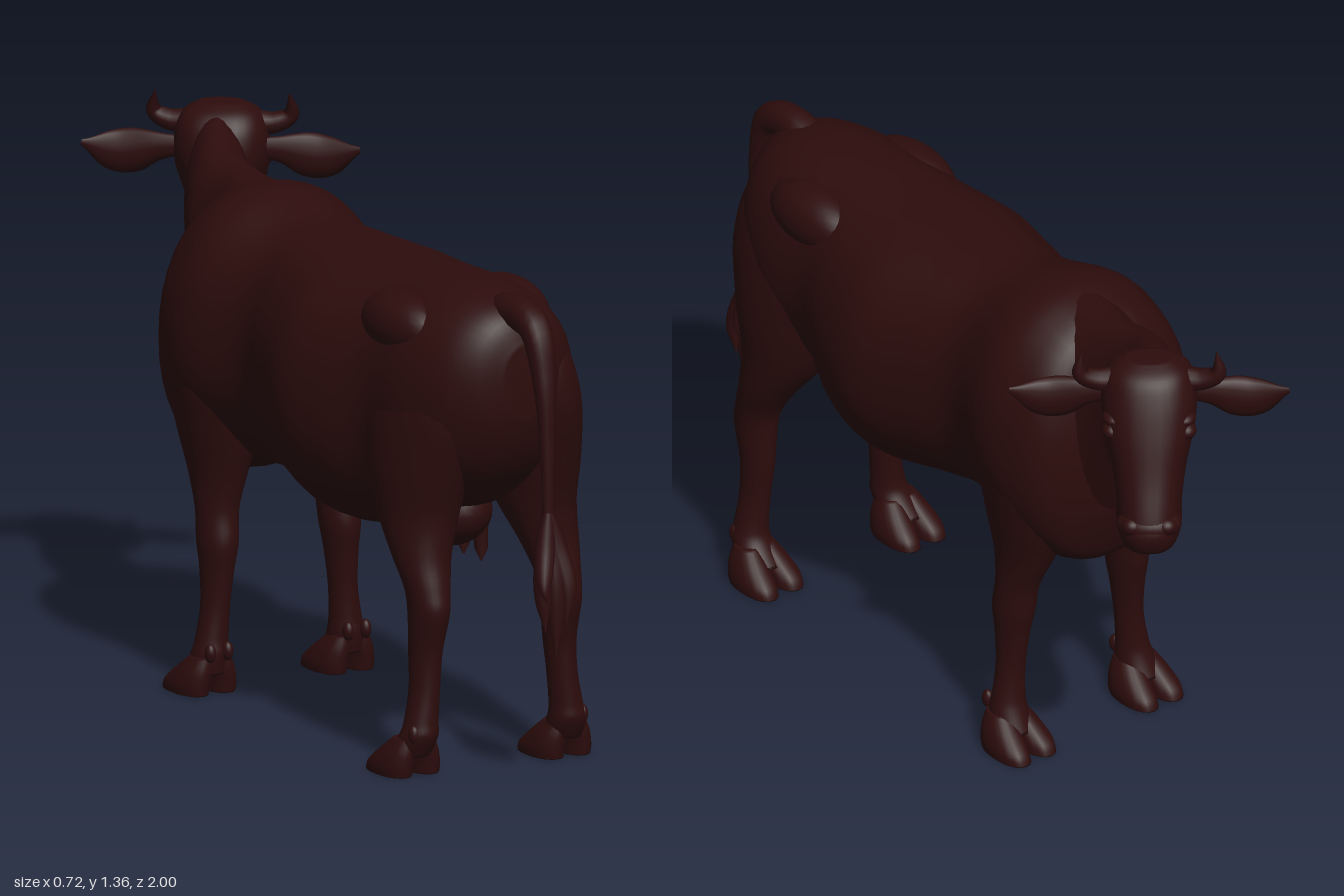
import * as THREE from 'three';

const hide = new THREE.MeshStandardMaterial({ color: 0x2d0c0c });
hide.name = 'dark brown hide';

const MID = -0.05; // x of the body's centre line

const add = (parent, name, geometry) => {
  const mesh = new THREE.Mesh(geometry, hide);
  mesh.name = name;
  parent.add(mesh);
  return mesh;
};

// Smooth value between the rows of a section table
function sample(rows, t, k) {
  const i = Math.min(Math.floor(t), rows.length - 2), f = t - i;
  const at = n => rows[Math.max(0, Math.min(rows.length - 1, n))][k];
  const [a, b, c, d] = [at(i - 1), at(i), at(i + 1), at(i + 2)];
  return b + 0.5 * f * (c - a + f * (2 * a - 5 * b + 4 * c - d + f * (3 * (b - c) + d - a)));
}

// Skin over rows of [p, centreA, centreB, radiusA, radiusB], p ascending
function loft(rows, place, power = 2, sides = 32, steps = 5) {
  const pos = [], idx = [], rings = (rows.length - 1) * steps + 1;
  const bend = v => Math.sign(v) * Math.abs(v) ** (2 / power);
  for (let i = 0; i < rings; i++) {
    const [p, ca, cb, ra, rb] = [0, 1, 2, 3, 4].map(k => sample(rows, i / steps, k));
    for (let j = 0; j < sides; j++) {
      const q = j / sides * Math.PI * 2;
      pos.push(...place(ca + ra * bend(Math.cos(q)), cb + rb * bend(Math.sin(q)), p));
    }
  }
  for (let i = 0; i < rings - 1; i++) for (let j = 0; j < sides; j++) {
    const a = i * sides + j, b = i * sides + (j + 1) % sides;
    idx.push(a, b, b + sides, a, b + sides, a + sides);
  }
  const first = rows[0], last = rows[rows.length - 1], n = rings * sides;
  pos.push(...place(first[1], first[2], first[0]), ...place(last[1], last[2], last[0]));
  for (let j = 0; j < sides; j++) {
    const k = (j + 1) % sides, o = n - sides;
    idx.push(n, k, j, n + 1, o + j, o + k);
  }
  const g = new THREE.BufferGeometry();
  g.setAttribute('position', new THREE.Float32BufferAttribute(pos, 3));
  g.setIndex(idx);
  g.computeVertexNormals();
  return g;
}
const alongZ = (a, b, p) => [a, b, p];
const alongY = (a, b, p) => [b, p, a];

// Tube whose thickness follows a list of radii
function taper(points, radii, segs = 24, sides = 12) {
  const curve = new THREE.CatmullRomCurve3(points.map(p => new THREE.Vector3(...p)));
  const g = new THREE.TubeGeometry(curve, segs, 1, sides), pos = g.attributes.position;
  const rows = radii.map(r => [r]), v = new THREE.Vector3();
  for (let i = 0; i <= segs; i++) {
    const c = curve.getPointAt(i / segs);
    const r = Math.max(0.001, sample(rows, i / segs * (rows.length - 1), 0));
    for (let j = 0; j <= sides; j++) {
      const n = i * (sides + 1) + j;
      v.fromBufferAttribute(pos, n).sub(c).multiplyScalar(r).add(c);
      pos.setXYZ(n, v.x, v.y, v.z);
    }
  }
  return g;
}

const blob = (x, y, z, rx, ry, rz) =>
  new THREE.SphereGeometry(1, 24, 16).scale(rx, ry, rz).translate(x, y, z);

// Leg rows: height, z, distance from centre line, z radius, x radius
const HIND = [
  [0.05, 0.65, 0.205, 0.06, 0.052], [0.1, 0.685, 0.2, 0.05, 0.048], [0.14, 0.69, 0.195, 0.043, 0.042],
  [0.22, 0.688, 0.185, 0.042, 0.037], [0.31, 0.685, 0.18, 0.048, 0.04], [0.41, 0.695, 0.177, 0.062, 0.048],
  [0.47, 0.685, 0.175, 0.063, 0.055], [0.55, 0.65, 0.17, 0.08, 0.073], [0.65, 0.612, 0.155, 0.12, 0.095],
  [0.77, 0.6, 0.145, 0.165, 0.11], [0.92, 0.6, 0.125, 0.203, 0.115], [1.05, 0.6, 0.1, 0.19, 0.1],
  [1.15, 0.6, 0.07, 0.11, 0.07]];
const FORE = [
  [0.05, -0.32, 0.2, 0.055, 0.052], [0.1, -0.305, 0.197, 0.047, 0.047], [0.14, -0.302, 0.193, 0.04, 0.041],
  [0.22, -0.3, 0.185, 0.038, 0.036], [0.31, -0.3, 0.18, 0.048, 0.041], [0.38, -0.302, 0.177, 0.06, 0.049],
  [0.46, -0.312, 0.172, 0.061, 0.052], [0.55, -0.325, 0.162, 0.09, 0.066], [0.68, -0.335, 0.155, 0.135, 0.095],
  [0.82, -0.34, 0.16, 0.15, 0.11], [1, -0.33, 0.15, 0.13, 0.1], [1.15, -0.3, 0.1, 0.08, 0.07]];

function leg(name, rows, side, shift) {
  const g = new THREE.Group();
  g.name = name;
  const [, cz, off] = rows[0], x = MID + side * off;
  add(g, 'leg', loft(rows.map(([y, z, o, rz, rx]) =>
    [y, z + shift, MID + side * o, rz, rx]), alongY));
  // cloven hoof and dewclaws
  for (const s of [-1, 1]) {
    const z = cz + shift, cx = x + s * 0.039;
    add(g, 'hoof', loft([
      [0, z - 0.03, cx, 0.08, 0.04], [0.025, z - 0.022, cx, 0.075, 0.041],
      [0.06, z, cx - s * 0.006, 0.056, 0.036], [0.095, z + 0.02, cx - s * 0.014, 0.033, 0.024]], alongY, 2.2, 20));
    add(g, 'dewclaw', blob(x + s * 0.025, 0.11, z + 0.06, 0.014, 0.024, 0.016));
  }
  return g;
}

function head() {
  const g = new THREE.Group();
  g.name = 'head';
  // local +z is the way the face points; turned to one side
  g.position.set(0.09, 0, -0.782);
  g.rotation.y = Math.atan2(0.63, -0.777);
  add(g, 'skull', loft([
    [0.885, 0.165, 0, 0.035, 0.04], [0.9, 0.15, 0, 0.085, 0.066], [0.945, 0.143, 0, 0.11, 0.08],
    [0.99, 0.125, 0, 0.116, 0.08], [1.08, 0.082, 0, 0.122, 0.092], [1.18, 0.035, 0, 0.132, 0.115],
    [1.26, 0.02, 0, 0.112, 0.115], [1.31, 0.02, 0, 0.08, 0.095], [1.335, 0.02, 0, 0.035, 0.055]], alongY, 2.3));
  add(g, 'nose', blob(0, 0.965, 0.195, 0.08, 0.042, 0.055));
  add(g, 'chin', blob(0, 0.91, 0.165, 0.06, 0.028, 0.07));
  for (const s of [-1, 1]) {
    add(g, 'nostril', blob(s * 0.042, 0.972, 0.22, 0.026, 0.022, 0.025));
    add(g, 'eye', blob(s * 0.092, 1.175, 0.1, 0.024, 0.022, 0.03));
    add(g, 'brow', blob(s * 0.085, 1.205, 0.09, 0.03, 0.018, 0.035));
    add(g, 'horn', taper([[s * 0.07, 1.28, 0.03], [s * 0.13, 1.28, 0.035], [s * 0.168, 1.3, 0.04],
      [s * 0.165, 1.355, 0.03]], [0.033, 0.028, 0.02, 0.002]));
    const ear = add(g, 'ear', taper([[s * 0.08, 1.225, 0], [s * 0.16, 1.22, 0], [s * 0.25, 1.207, 0],
      [s * 0.343, 1.225, 0]], [0.024, 0.034, 0.056, 0.048, 0.008], 28));
    ear.scale.z = 0.5;
  }
  return g;
}

function tail() {
  const g = new THREE.Group();
  g.name = 'tail';
  add(g, 'tailCord', taper([[MID, 1.13, 0.66], [MID, 1.17, 0.77], [MID, 1.145, 0.86], [MID, 1.03, 0.9],
    [MID, 0.85, 0.915], [MID, 0.64, 0.92]], [0.05, 0.045, 0.033, 0.022, 0.016, 0.016], 40));
  // hair tuft in tapering locks
  const locks = [[0, 0.34, 0.955], [-0.03, 0.4, 0.945], [0.025, 0.42, 0.97], [0.04, 0.48, 0.93], [-0.04, 0.48, 0.965]];
  for (const [dx, y, z] of locks)
    add(g, 'tailLock', taper([[MID, 0.7, 0.92], [MID + dx * 0.5, 0.61, 0.925 + (z - 0.92) * 0.3],
      [MID + dx, 0.51, z], [MID + dx * 0.8, y, z]], [0.012, 0.023, 0.026, 0.02, 0.002]));
  return g;
}

export function createModel() {
  const cow = new THREE.Group();
  cow.name = 'cow';

  // torso rows: z, height of centre, half width, half height
  add(cow, 'torso', loft([
    [-0.55, 0.84, 0.05, 0.1], [-0.52, 0.86, 0.155, 0.22], [-0.47, 0.87, 0.24, 0.325],
    [-0.38, 0.885, 0.275, 0.36], [-0.28, 0.91, 0.278, 0.345], [-0.12, 0.895, 0.235, 0.322],
    [0.02, 0.882, 0.268, 0.327], [0.18, 0.867, 0.312, 0.34], [0.32, 0.875, 0.29, 0.334],
    [0.45, 0.92, 0.245, 0.297], [0.6, 0.93, 0.24, 0.288], [0.72, 0.96, 0.2, 0.238],
    [0.79, 0.99, 0.135, 0.17], [0.82, 1, 0.06, 0.09]
  ].map(([z, y, w, h]) => [z, MID, y, w, h]), alongZ, 2.15, 40));

  // neck bends towards the turned head
  add(cow, 'neck', loft([
    [-0.83, 0.105, 1.1, 0.06, 0.15], [-0.76, 0.065, 1.115, 0.09, 0.195], [-0.7, 0.03, 1.105, 0.1, 0.196],
    [-0.62, -0.008, 1.075, 0.105, 0.2], [-0.52, -0.02, 0.97, 0.12, 0.285], [-0.42, -0.035, 0.9, 0.16, 0.348],
    [-0.3, MID, 0.91, 0.17, 0.343]], alongZ));

  for (const s of [-1, 1]) {
    const side = s > 0 ? 'left' : 'right', shift = s > 0 ? 0.005 : -0.04;
    cow.add(leg(side + 'HindLeg', HIND, s, shift), leg(side + 'FrontLeg', FORE, s, 0));
    add(cow, 'hipBone', blob(MID + s * 0.15, 1.1, 0.5, 0.08, 0.082, 0.15));
    // teats, two on each side
    for (const z of [0.45, 0.53])
      add(cow, 'teat', taper([[MID + s * 0.05, 0.57, z], [MID + s * 0.055, 0.52, z],
        [MID + s * 0.056, 0.48, z]], [0.022, 0.018, 0.016, 0.003]));
  }
  add(cow, 'udder', blob(MID, 0.61, 0.46, 0.105, 0.095, 0.13));
  cow.add(head(), tail());
  return cow;
}
